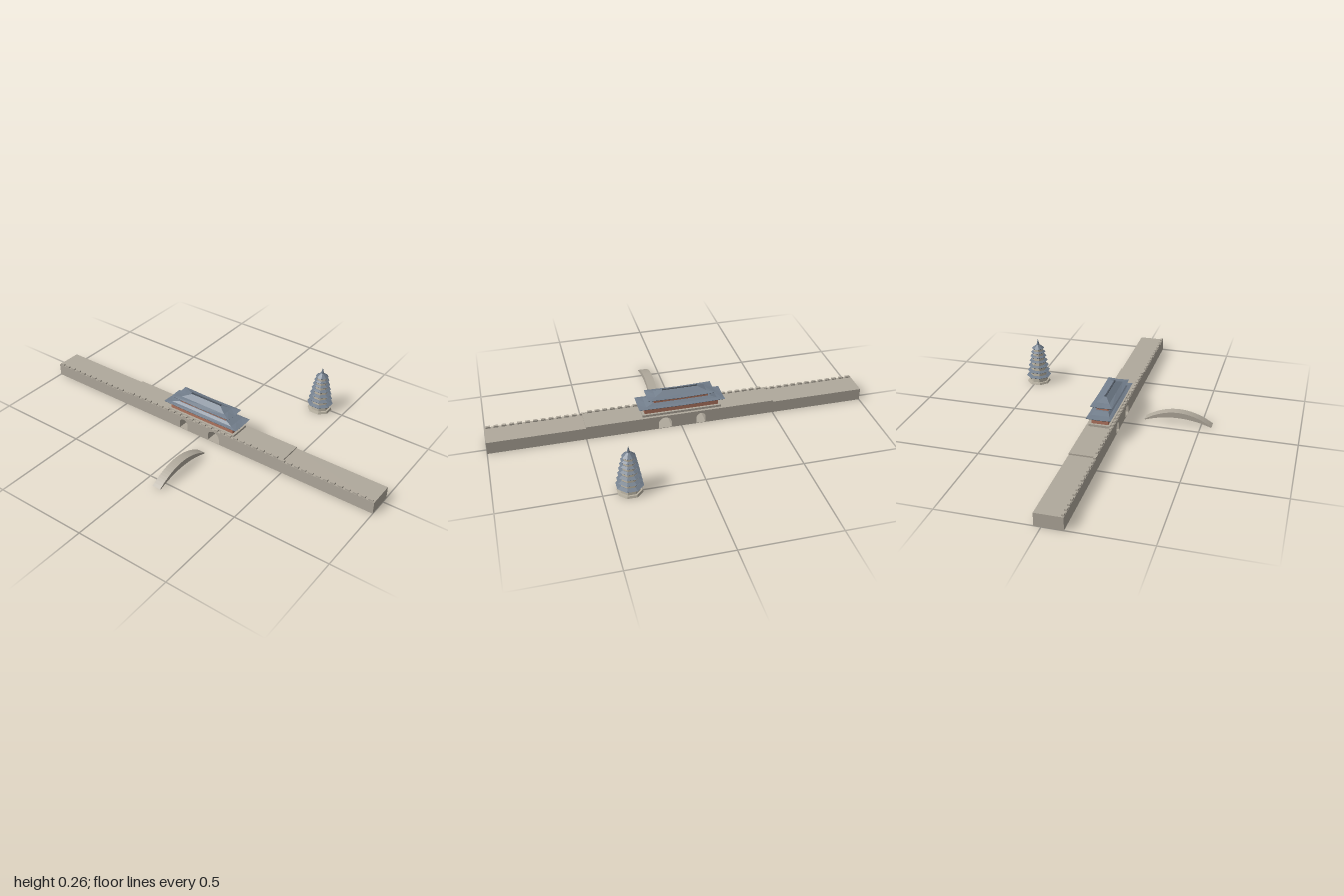
import * as THREE from 'three';

const mat = (name, color, opts = {}) => {
  const m = new THREE.MeshStandardMaterial({ color, flatShading: true, ...opts });
  m.name = name;
  return m;
};

export function createModel() {
  const stone = mat('stone', 0xb0a99c);
  const paleStone = mat('pale stone', 0xb9b2a2);
  const brick = mat('red plaster', 0xb0755f);
  const slate = mat('slate tile', 0x727e8c, { side: THREE.DoubleSide });
  const dark = mat('dark ridge', 0x4c545e);

  const model = new THREE.Group();
  model.name = 'cityGate';

  const add = (parent, name, geo, material, x = 0, y = 0, z = 0) => {
    const m = new THREE.Mesh(geo, material);
    m.name = name;
    m.position.set(x, y, z);
    parent.add(m);
    return m;
  };
  // Box standing on y
  const block = (parent, name, w, h, d, material, x, y, z) =>
    add(parent, name, new THREE.BoxGeometry(w, h, d), material, x, y + h / 2, z);

  // Wall with a raised middle and two arched tunnels
  const wall = new THREE.Group();
  wall.name = 'wall';
  model.add(wall);
  const outline = new THREE.Shape();
  [[-1, 0], [1, 0], [1, 0.066], [0.5, 0.066], [0.5, 0.074], [-0.5, 0.074], [-0.5, 0.066], [-1, 0.066]]
    .forEach(([x, y], i) => (i ? outline.lineTo(x, y) : outline.moveTo(x, y)));
  for (const [cx, r, h] of [[-0.105, 0.025, 0.06], [0.087, 0.035, 0.064]]) {
    const arch = new THREE.Path();
    arch.moveTo(cx - r, 0.002);
    arch.lineTo(cx + r, 0.002);
    arch.lineTo(cx + r, h - r);
    arch.absarc(cx, h - r, r, 0, Math.PI, false);
    outline.holes.push(arch);
  }
  add(wall, 'wallBody',
    new THREE.ExtrudeGeometry(outline, { depth: 0.137, bevelEnabled: false, curveSegments: 16 }),
    stone, 0, 0, -0.035);

  // Battlements along the front edge
  for (let i = 0; i < 50; i++) {
    const x = -0.98 + i * 0.04;
    block(wall, 'merlon', 0.024, 0.009, 0.012, stone, x, Math.abs(x) < 0.5 ? 0.074 : 0.066, 0.095);
  }

  // Gate tower
  const tower = new THREE.Group();
  tower.name = 'gateTower';
  tower.position.set(-0.007, 0, 0.034);
  model.add(tower);
  block(tower, 'terrace', 0.42, 0.012, 0.11, stone, 0, 0.074, 0);
  block(tower, 'lowerStorey', 0.394, 0.04, 0.087, brick, 0, 0.085, 0);
  block(tower, 'upperStorey', 0.29, 0.032, 0.062, brick, 0, 0.135, 0);

  // Hipped roof from rings [half width, half depth, height, corner lift]
  const hipRoof = (name, rings) => {
    const loop = ([w, d, y, lift]) =>
      [[1, 1], [1, 0], [1, -1], [0, -1], [-1, -1], [-1, 0], [-1, 1], [0, 1]]
        .map(([sx, sz]) => [sx * w, y + (sx && sz ? lift : 0), sz * d]);
    const loops = rings.map(loop);
    const pos = [];
    const tri = (a, b, c) => pos.push(...a, ...b, ...c);
    for (let k = 0; k + 1 < loops.length; k++) {
      for (let i = 0; i < 8; i++) {
        const j = (i + 1) % 8;
        tri(loops[k][i], loops[k][j], loops[k + 1][j]);
        tri(loops[k][i], loops[k + 1][j], loops[k + 1][i]);
      }
    }
    // Soffit and top caps
    const first = loops[0], last = loops[loops.length - 1];
    for (let i = 0; i < 8; i++) {
      const j = (i + 1) % 8;
      tri([0, rings[0][2], 0], first[j], first[i]);
      tri([0, rings[rings.length - 1][2], 0], last[i], last[j]);
    }
    const geo = new THREE.BufferGeometry();
    geo.setAttribute('position', new THREE.Float32BufferAttribute(pos, 3));
    geo.computeVertexNormals();
    add(tower, name, geo, slate);
  };
  hipRoof('lowerRoof', [
    [0.226, 0.062, 0.119, 0.003], [0.228, 0.064, 0.122, 0.003],
    [0.188, 0.046, 0.128, 0], [0.155, 0.034, 0.138, 0]]);
  hipRoof('upperRoof', [
    [0.176, 0.054, 0.161, 0.004], [0.178, 0.056, 0.164, 0.004],
    [0.135, 0.032, 0.173, 0], [0.088, 0.003, 0.191, 0]]);
  block(tower, 'ridge', 0.18, 0.005, 0.007, dark, 0, 0.189, 0);
  for (const s of [-1, 1]) block(tower, 'ridgeEnd', 0.008, 0.008, 0.008, dark, s * 0.088, 0.188, 0);

  // Footbridge: a crescent swept across its width
  const bow = (half, rise, y0, n = 24) => Array.from({ length: n + 1 }, (_, i) => {
    const t = -1 + (2 * i) / n;
    return new THREE.Vector2(t * half, y0 + rise * (1 - t * t));
  });
  const crescent = new THREE.Shape([...bow(0.177, 0.058, 0.005).reverse(), ...bow(0.174, 0.032, 0.001)]);
  const bridge = add(model, 'bridge',
    new THREE.ExtrudeGeometry(crescent, { depth: 0.046, bevelEnabled: false }), stone, 0.061, 0, 0.38);
  bridge.rotation.y = Math.PI / 2;
  bridge.position.z = 0.38;

  // Octagonal pagoda, sized by the distance to its flat sides
  const pagoda = new THREE.Group();
  pagoda.name = 'pagoda';
  pagoda.position.set(0.368, 0, -0.489);
  model.add(pagoda);
  const octagon = (name, top, bottom, h, y, material) => {
    const k = 1 / Math.cos(Math.PI / 8);
    const m = add(pagoda, name, new THREE.CylinderGeometry(top * k, bottom * k, h, 8), material, 0, y + h / 2, 0);
    m.rotation.y = Math.PI / 8;
  };
  octagon('pagodaBase', 0.056, 0.06, 0.011, 0, paleStone);
  octagon('pagodaBody', 0.023, 0.048, 0.197, 0.01, paleStone);
  [0.04, 0.07, 0.1, 0.129, 0.156, 0.181, 0.204].forEach((y, i) => {
    const r = 0.064 - i * 0.0053;
    octagon('pagodaEave', r, r - 0.002, 0.002, y - 0.002, dark);
    octagon('pagodaRoof', 0.045 - i * 0.0036, r, 0.007, y, slate);
  });
  octagon('pagodaCap', 0.008, 0.025, 0.014, 0.21, slate);
  octagon('pagodaSpire', 0.0005, 0.008, 0.033, 0.223, slate);

  return model;
}
